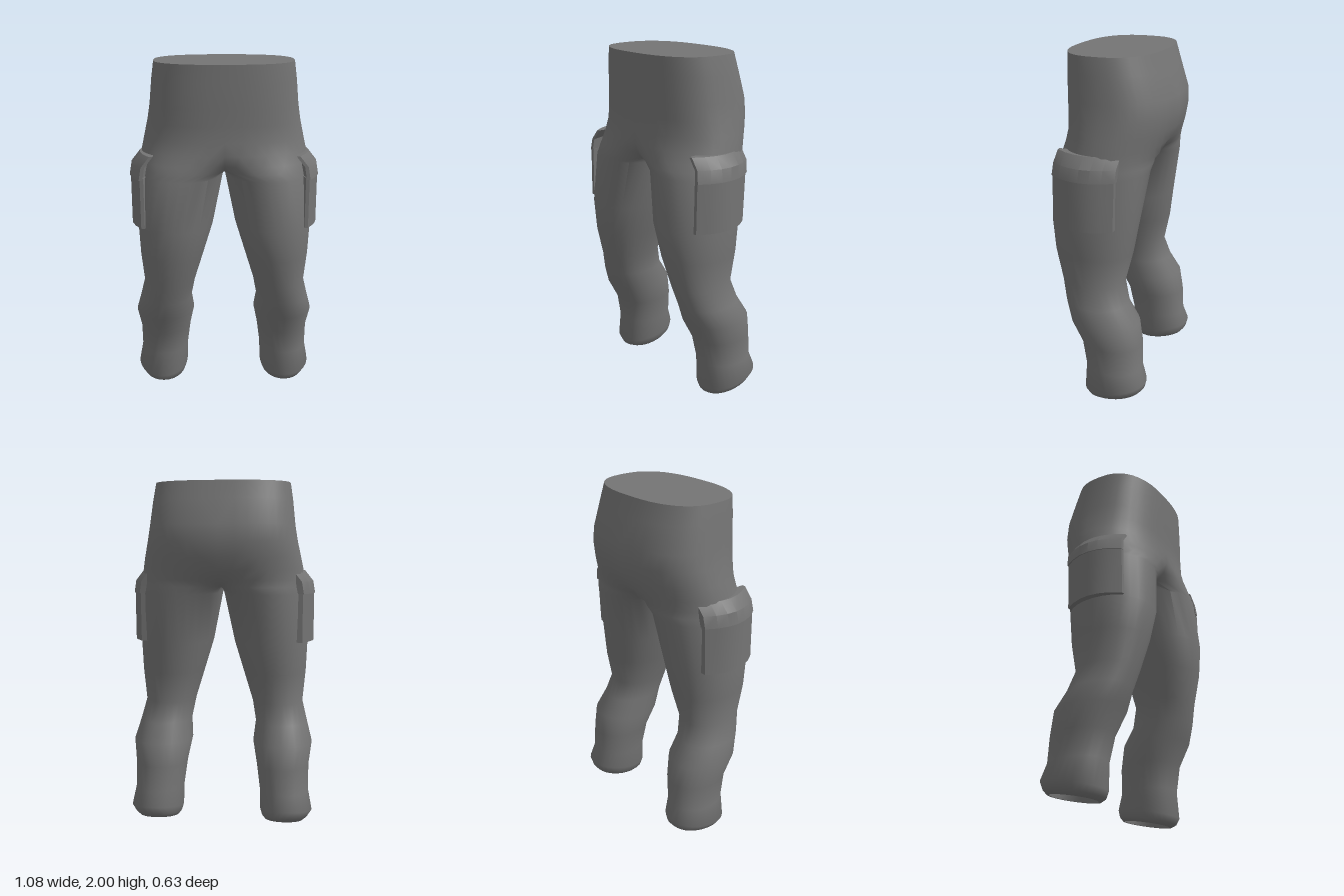
import * as THREE from 'three';
import { toCreasedNormals } from 'three/addons/utils/BufferGeometryUtils.js';

const SEGMENTS = 28;
const ARC = 10; // ring points each side of +x that stay on the outer skin where legs join
const { lerp, smoothstep } = THREE.MathUtils;

// Cross-sections of one half: [y, outer x, inner x, front z, back z].
// Negative inner x means both legs are still joined at the centre line.
const TROUSERS = [
  [2.00, 0.39, -0.39, 0.27, -0.24],
  [1.90, 0.405, -0.405, 0.27, -0.27],
  [1.76, 0.42, -0.42, 0.27, -0.315],
  [1.67, 0.435, -0.435, 0.267, -0.318],
  [1.58, 0.455, -0.42, 0.268, -0.302],
  [1.51, 0.47, -0.30, 0.275, -0.275],
  [1.45, 0.48, -0.15, 0.283, -0.25],
  [1.41, 0.485, -0.055, 0.29, -0.237],
  [1.37, 0.488, 0.005, 0.296, -0.23],
  [1.08, 0.50, 0.065, 0.315, -0.185],
  [0.90, 0.492, 0.12, 0.292, -0.16],
  [0.72, 0.475, 0.175, 0.247, -0.12],
  [0.60, 0.505, 0.197, 0.215, -0.155],
  [0.49, 0.535, 0.185, 0.18, -0.222],
  [0.36, 0.517, 0.21, 0.113, -0.245],
  [0.21, 0.517, 0.23, 0.085, -0.25],
  [0.09, 0.54, 0.233, 0.09, -0.28],
  [0.05, 0.515, 0.245, 0.075, -0.27],
  [0.03, 0.49, 0.262, 0.045, -0.25],
  // hem turned inwards, then the shallow leg opening
  [0.031, 0.48, 0.272, 0.035, -0.24],
  [0.09, 0.475, 0.277, 0.03, -0.235],
];

const bend = (v, power) => Math.sign(v) * Math.abs(v) ** power;

// Rounded ring: boxier at the waist, nearly elliptical on the legs, tilted at the hem
function ring([y, outer, inner, front, back]) {
  const cx = (outer + inner) / 2, rx = (outer - inner) / 2;
  const cz = (front + back) / 2, rz = (front - back) / 2;
  const power = lerp(0.95, 0.78, smoothstep(y, 1.4, 1.75));
  const tilt = y < 0.1 ? 0.19 : 0;
  const joined = inner < 0;
  // angle at which a joined ring meets the centre line
  const meet = joined ? Math.acos(-bend(cx / rx, 1 / power)) : (ARC / SEGMENTS) * Math.PI * 2;
  const meetZ = rz * bend(Math.sin(meet), power);
  return Array.from({ length: SEGMENTS }, (_, j) => {
    const i = j - ARC;
    if (joined && i >= ARC) {
      return [0, y, cz + lerp(meetZ, -meetZ, (i - ARC) / (SEGMENTS - 2 * ARC))];
    }
    const a = i <= ARC ? (i / ARC) * meet : (i / SEGMENTS) * Math.PI * 2;
    const x = cx + rx * bend(Math.cos(a), power);
    const z = cz + rz * bend(Math.sin(a), power);
    return [x < 1e-4 ? 0 : x, y - tilt * (z - cz), z];
  });
}

// Skin a stack of rings (top to bottom) for the given sides, with end caps
function loft(rings, sides, topCentre, bottomCentre, crease) {
  const positions = [];
  const face = (side, a, b, c) => {
    if (a[0] === 0 && b[0] === 0 && c[0] === 0) return; // no wall on the centre line
    for (const p of side > 0 ? [a, b, c] : [a, c, b]) positions.push(side * p[0], p[1], p[2]);
  };
  for (const side of sides) {
    const n = rings[0].length, last = rings[rings.length - 1];
    for (let j = 0; j < n; j++) {
      const k = (j + 1) % n;
      for (let i = 0; i < rings.length - 1; i++) {
        face(side, rings[i][j], rings[i][k], rings[i + 1][j]);
        face(side, rings[i][k], rings[i + 1][k], rings[i + 1][j]);
      }
      face(side, topCentre, rings[0][k], rings[0][j]);
      face(side, bottomCentre, last[j], last[k]);
    }
  }
  const geometry = new THREE.BufferGeometry();
  geometry.setAttribute('position', new THREE.Float32BufferAttribute(positions, 3));
  return toCreasedNormals(geometry, crease);
}

// Pocket section: outer wall bulging from back to front, closed inside the thigh
function pocketRing(y, outerX, back, front) {
  const points = [];
  for (let i = 0; i <= 6; i++) {
    const t = i / 6;
    points.push([outerX - 0.065 * (2 * t - 1) ** 2, y, lerp(back, front, t)]);
  }
  return [...points, [outerX - 0.085, y, front], [0.38, y, back]];
}

export function createModel() {
  const model = new THREE.Group();
  const material = new THREE.MeshStandardMaterial({ color: 0x747474 });
  const add = (name, geometry) => {
    const mesh = new THREE.Mesh(geometry, material);
    mesh.name = name;
    model.add(mesh);
  };

  add('trousers', loft(TROUSERS.map(ring), [1, -1], [0, 2, 0.015], [0.375, 0.09, -0.1], 1.2));

  // the flap slopes in to meet the thigh at its top edge
  const body = [pocketRing(1.38, 0.535, -0.125, 0.235), pocketRing(1.09, 0.535, -0.115, 0.24)];
  const flap = [
    pocketRing(1.50, 0.48, -0.14, 0.225),
    pocketRing(1.44, 0.528, -0.135, 0.23),
    pocketRing(1.37, 0.54, -0.13, 0.237),
  ];
  for (const [label, side] of [['left', 1], ['right', -1]]) {
    add(label + 'PocketBody', loft(body, [side], [0.45, 1.38, 0.05], [0.45, 1.09, 0.05], 0.6));
    add(label + 'PocketFlap', loft(flap, [side], [0.42, 1.50, 0.05], [0.45, 1.37, 0.05], 0.5));
  }
  return model;
}
